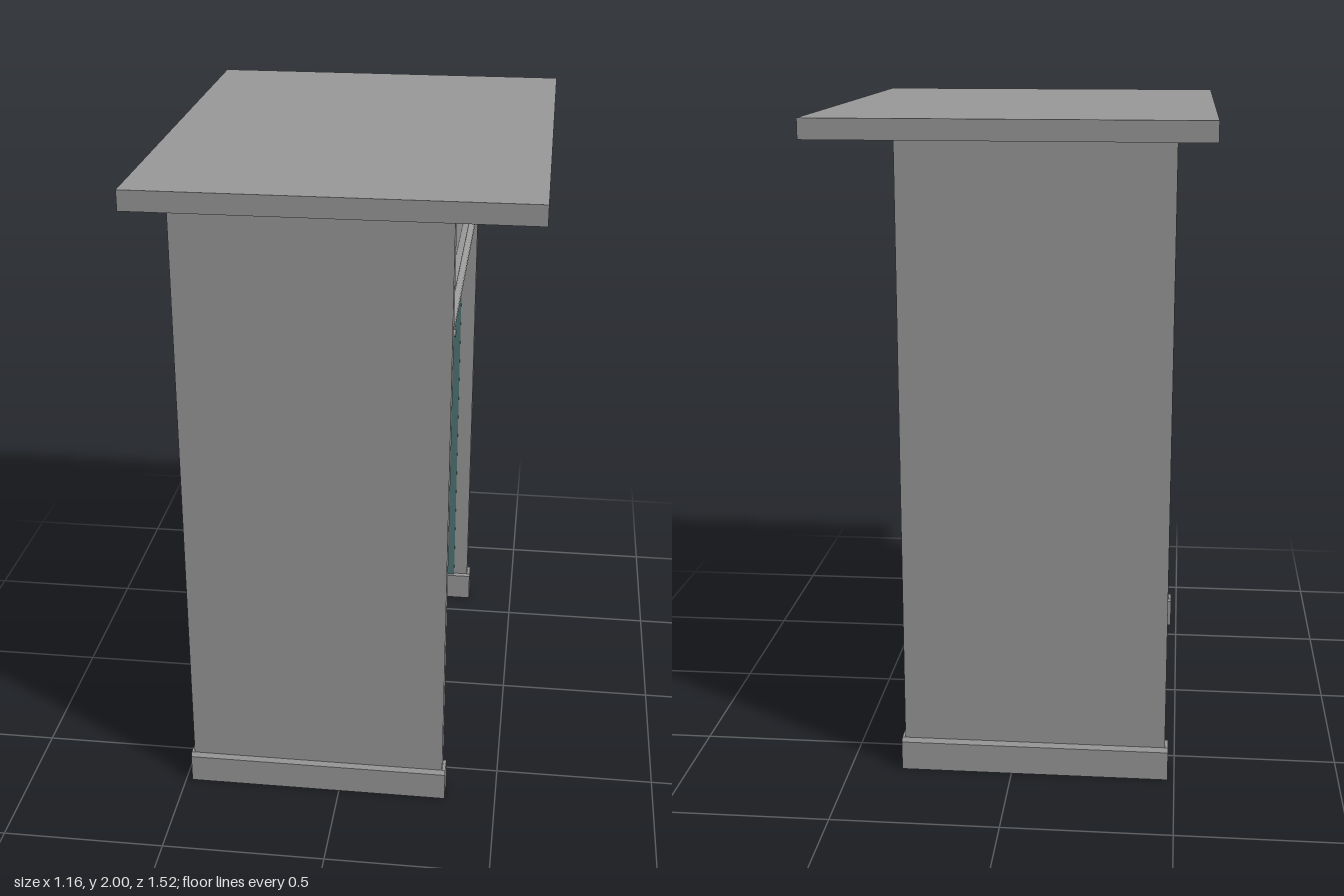
import * as THREE from 'three';

const mat = (name, color) => {
  const m = new THREE.MeshStandardMaterial({ color });
  m.name = name;
  return m;
};

export function createModel() {
  const root = new THREE.Group();
  root.name = 'doorPorch';
  const gray = mat('gray', 0x999999);
  const teal = mat('teal', 0x4f7676);
  const glass = mat('glass', 0xb6b6b6);

  const add = (name, geo, material) => {
    const mesh = new THREE.Mesh(geo, material);
    mesh.name = name;
    root.add(mesh);
    return mesh;
  };
  // Box given by its minimum and maximum on each axis
  const box = (name, material, x0, x1, y0, y1, z0, z1) => {
    const [a, b] = [Math.min(z0, z1), Math.max(z0, z1)];
    const mesh = add(name, new THREE.BoxGeometry(x1 - x0, y1 - y0, b - a), material);
    mesh.position.set((x0 + x1) / 2, (y0 + y1) / 2, (a + b) / 2);
    return mesh;
  };
  // Rod between two points
  const rod = (name, material, r, a, b) => {
    const from = new THREE.Vector3(...a), to = new THREE.Vector3(...b);
    const dir = to.clone().sub(from);
    const mesh = add(name, new THREE.CylinderGeometry(r, r, dir.length(), 16), material);
    mesh.position.copy(from).add(to).multiplyScalar(0.5);
    mesh.quaternion.setFromUnitVectors(new THREE.Vector3(0, 1, 0), dir.normalize());
    return mesh;
  };
  // Outline in (z, y), extruded from x0 to x1
  const slab = (name, material, shape, x0, x1) => {
    const geo = new THREE.ExtrudeGeometry(shape, { depth: x1 - x0, bevelEnabled: false });
    geo.rotateY(-Math.PI / 2);
    geo.translate(x1, 0, 0);
    return add(name, geo, material);
  };
  const outline = pts => new THREE.Shape(pts.map(p => new THREE.Vector2(...p)));
  const rect = (z0, z1, y0, y1) => [[z0, y0], [z1, y0], [z1, y1], [z0, y1]];

  // Roof slab
  box('roof', gray, -0.58, 0.58, 1.94, 2, -0.76, 0.76);

  // Fascia block over the doorway, with cornice and bolted lower rail
  box('fasciaFront', gray, 0.05, 0.29, 1.535, 1.94, -0.6, 0.6);
  box('fasciaBack', gray, -0.47, 0.05, 1.51, 1.94, -0.6, 0.6);
  rod('cornice', gray, 0.03, [0.285, 1.9, -0.6], [0.285, 1.9, 0.6]);
  box('lowerRail', gray, 0.28, 0.31, 1.535, 1.578, -0.6, 0.6);
  rod('lowerRailRound', gray, 0.02, [0.308, 1.556, -0.6], [0.308, 1.556, 0.6]);

  for (const s of [1, -1]) {
    // Side walls with painted lining and moulded plinth
    box('sideWall', gray, -0.47, 0.33, 0.02, 1.94, s * 0.6, s * 0.655);
    box('wallLining', teal, -0.43, 0.28, 0.1, 1.51, s * 0.595, s * 0.6);
    slab('plinth', gray, outline([[s * 0.592, 0], [s * 0.665, 0], [s * 0.665, 0.09],
      [s * 0.655, 0.102], [s * 0.6, 0.102], [s * 0.592, 0.095]]), -0.48, 0.34);

    // Door jamb, its cover strip and hinges
    box('jamb', teal, -0.01, 0.05, 0, 1.535, s * 0.561, s * 0.595);
    box('jambCover', gray, 0.05, 0.062, 0, 1.535, s * 0.575, s * 0.597);
    for (const y of [0.165, 1.36]) {
      rod('hinge', gray, 0.009, [0.056, y - 0.048, s * 0.566], [0.056, y + 0.048, s * 0.566]);
    }
    rod('railBolt', gray, 0.011, [0.32, 1.557, s * 0.573], [0.334, 1.557, s * 0.573]);
  }

  // Door head, weather strip and threshold
  box('doorHead', teal, -0.01, 0.05, 1.513, 1.535, -0.561, 0.561);
  box('headStrip', gray, 0.044, 0.054, 1.508, 1.514, -0.56, 0.56);
  box('threshold', gray, 0, 0.055, 0, 0.014, -0.56, 0.56);

  // Door leaves; the second has a three-sided opening at the foot
  const leaves = [
    { window: [0.118, 0.242], edge: [[0.002, 0.012], [0.56, 0.012], [0.56, 1.507], [0.002, 1.507]] },
    { window: [-0.238, -0.118], edge: [[-0.56, 1.507], [-0.56, 0.014], [-0.553, 0.014], [-0.2, 0.305],
      [-0.008, 0.012], [-0.002, 0.012], [-0.002, 1.507]] },
  ];
  for (const { window: [z0, z1], edge } of leaves) {
    const leaf = outline(edge);
    leaf.holes.push(new THREE.Path(rect(z0, z1, 0.37, 1.362).map(p => new THREE.Vector2(...p))));
    slab('doorLeaf', teal, leaf, 0.005, 0.045);
    box('doorGlass', glass, 0.02, 0.03, 0.368, 1.364, z0 - 0.002, z1 + 0.002);

    // Thin glazing frames on both faces
    for (const [x0, x1] of [[0.045, 0.05], [0, 0.005]]) {
      const frame = outline(rect(z0 - 0.012, z1 + 0.012, 0.355, 1.38));
      frame.holes.push(new THREE.Path(rect(z0, z1, 0.37, 1.362).map(p => new THREE.Vector2(...p))));
      slab('glazingFrame', teal, frame, x0, x1);
    }
  }
  box('meetingStrip', teal, 0.045, 0.05, 0.014, 1.507, -0.006, 0.006);

  // Handle set on both faces
  for (const [x, d] of [[0.045, 1], [0.005, -1]]) {
    box('handlePlate', gray, Math.min(x, x + d * 0.012), Math.max(x, x + d * 0.012), 0.64, 0.81, -0.067, -0.026);
    rod('handleStem', gray, 0.011, [x, 0.733, -0.045], [x + d * 0.06, 0.733, -0.045]);
    rod('handleLever', gray, 0.008, [x + d * 0.06, 0.733, -0.107], [x + d * 0.06, 0.733, 0.018]);
  }
  return root;
}
